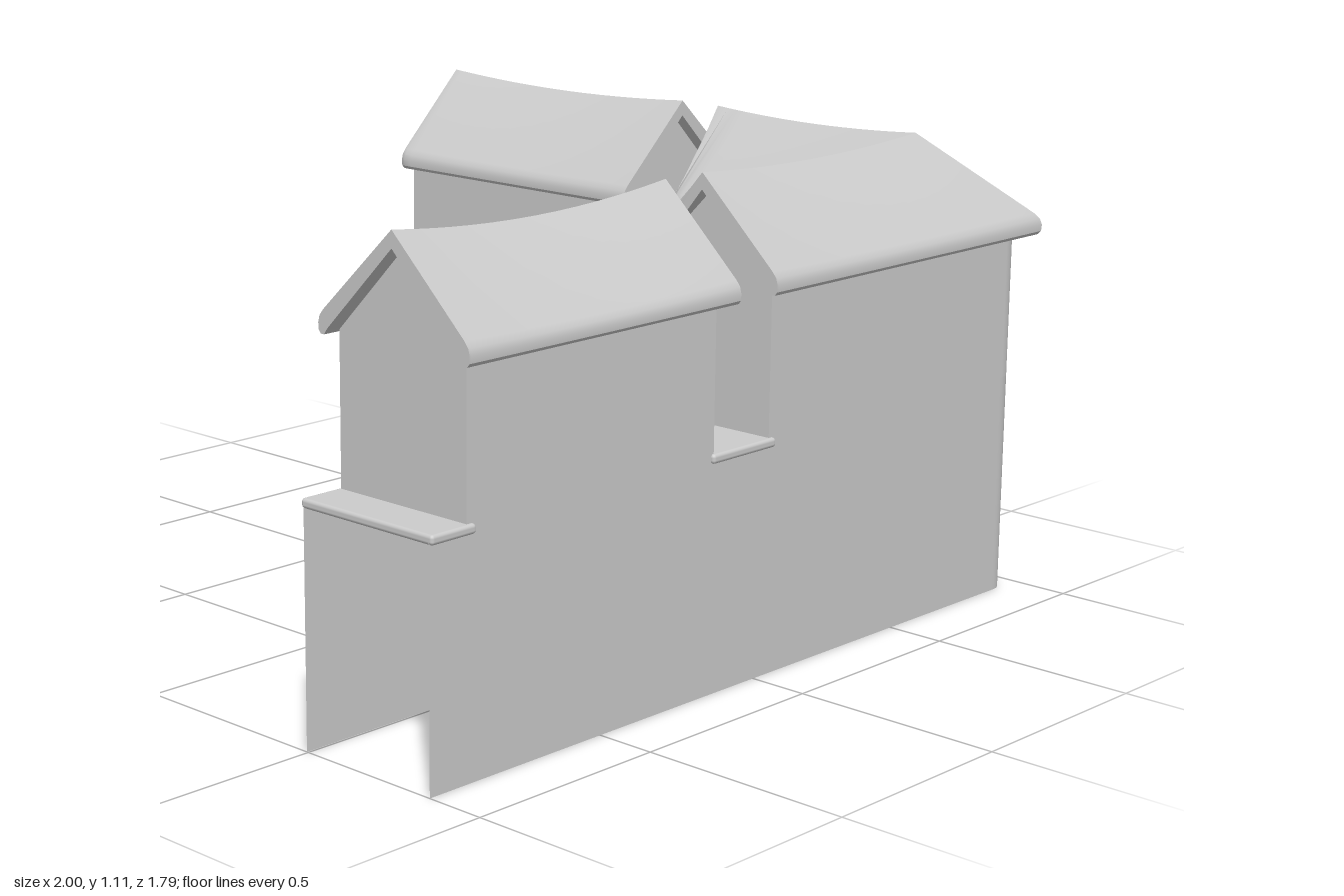
import * as THREE from 'three';
import { toCreasedNormals } from 'three/addons/utils/BufferGeometryUtils.js';
import { RoundedBoxGeometry } from 'three/addons/geometries/RoundedBoxGeometry.js';

const material = new THREE.MeshStandardMaterial({ color: 0xcccccc, side: THREE.DoubleSide });
const EAVE = 0.87;      // height above which the roofs sag
const CX = 0.778, CZ = 0.678; // centre lines of the two arms
const HALF = 0.182;     // half the wall thickness

// Stations along a straight stretch. Each places a section offset o on the plan.
// k0 and k1 skew the ends (1 = mitre), pinch rounds the inner eave at an end.
function run(axis, centre, t0, t1, { k0 = 0, k1 = 0, sag = 0, pinch0 = 0, pinch1 = 0, n = 20 } = {}) {
  const squeeze = (d, r) => (d < r ? r - Math.sqrt(Math.max(0, r * r - (r - d) ** 2)) : 0);
  return Array.from({ length: n + 1 }, (_, i) => {
    const u = 0.5 - 0.5 * Math.cos((Math.PI * i) / n);
    const t = t0 + (t1 - t0) * u, k = k0 + (k1 - k0) * u;
    const length = Math.abs(t1 - t0);
    const f = squeeze(u * length, pinch0) + squeeze((1 - u) * length, pinch1);
    const place = (o) => {
      const w = o < 0 ? o * (1 - f / 0.217) : o;
      return axis === 'x' ? [t + k * o, centre + w] : [centre + w, t + k * o];
    };
    return { place, sag: sag * 4 * u * (1 - u) };
  });
}

// Stations along both arms, round the corner with radius r
function cornerRun(x0, z1, r, optX = {}, optZ = {}) {
  const arc = [];
  for (let i = 1; r > 0 && i < 6; i++) {
    const a = (i / 6) * Math.PI / 2;
    arc.push({ place: (o) => [CX + o - r + r * Math.sin(a), CZ + o - r + r * Math.cos(a)], sag: 0 });
  }
  const second = run('z', CX, CZ - r, z1, { ...optZ, k0: 1 });
  return [...run('x', CZ, x0, CX - r, { ...optX, k1: 1 }), ...arc, ...(r > 0 ? second : second.slice(1))];
}

// Skin a cross-section of [offset, height] points over the stations
function loft(stations, section, { closed = false, caps = false } = {}) {
  const pos = [], idx = [], m = section.length, last = stations.length - 1;
  for (const { place, sag } of stations) {
    for (const [o, y] of section) {
      const [x, z] = place(o);
      pos.push(x, y > EAVE ? EAVE + (y - EAVE) * (1 - sag / 0.24) : y, z);
    }
  }
  for (let i = 0; i < last; i++) {
    for (let j = 0; j < (closed ? m : m - 1); j++) {
      const a = i * m + j, b = i * m + ((j + 1) % m);
      idx.push(a, b, b + m, a, b + m, a + m);
    }
  }
  if (caps) {
    const flat = section.map(([o, y]) => new THREE.Vector2(o, y));
    for (const [a, b, c] of THREE.ShapeUtils.triangulateShape(flat, [])) {
      idx.push(a, b, c, last * m + c, last * m + b, last * m + a);
    }
  }
  const g = new THREE.BufferGeometry();
  g.setAttribute('position', new THREE.Float32BufferAttribute(pos, 3));
  g.setIndex(idx);
  return toCreasedNormals(g, 0.5);
}

export function createModel() {
  const model = new THREE.Group();
  const add = (name, geometry) => {
    const mesh = new THREE.Mesh(geometry, material);
    mesh.name = name;
    model.add(mesh);
    return mesh;
  };

  // Lower walls: two thin skins, open below and at the ends
  const plan = cornerRun(-1, -0.895, 0.05);
  add('outerWall', loft(plan, [[HALF, 0.53], [HALF, 0]]));
  add('innerWall', loft(plan, [[-HALF, 0], [-HALF, 0.53]]));

  // Upper wall blocks with gable ends
  const block = [[-HALF, 0.53], [-HALF, 0.88], [0, 1.065], [HALF, 0.88], [HALF, 0.53]];
  const blocks = {
    rightBlock: run('x', CZ, -0.896, -0.142, { k1: -0.04, sag: 0.025 }),
    cornerBlock: cornerRun(0.035, 0.11, 0.05, { sag: 0.016 }, { k1: 0.055, sag: 0.012 }),
    backBlock: run('z', CX, -0.07, -0.822, { k1: 0.07, sag: 0.016 }),
  };
  for (const [name, stations] of Object.entries(blocks)) add(name, loft(stations, block, { caps: true }));

  // Roofs: a thick chevron with a rounded eave lip
  const slope = [[0.203, 0.921], [0.213, 0.908], [0.217, 0.893], [0.216, 0.878], [0.21, 0.87], [0.2, 0.87], [0.19, 0.884]];
  const roof = [
    [0, 1.113], ...slope, [0, 1.075],
    ...slope.map(([o, y]) => [-o, y]).reverse(),
  ];
  const roofs = {
    rightRoof: run('x', CZ - 0.002, -0.92, -0.108, { sag: 0.026 }),
    cornerRoof: cornerRun(0.01, 0.07, 0, { sag: 0.016, pinch0: 0.04 }, { sag: 0.012, pinch1: 0.1 }),
    backRoof: run('z', 0.782, -0.05, -0.86, { sag: 0.016, pinch1: 0.02 }),
  };
  for (const [name, stations] of Object.entries(roofs)) add(name, loft(stations, roof, { closed: true, caps: true }));

  // Sills over the low stretches of wall
  const sills = [['x', -1, -0.875], ['x', -0.158, 0.052], ['z', -0.095, 0.115], ['z', -0.895, -0.815]];
  for (const [axis, a, b] of sills) {
    const along = b - a, mid = (a + b) / 2, across = 0.382;
    const g = axis === 'x'
      ? new RoundedBoxGeometry(along, 0.022, across, 2, 0.008)
      : new RoundedBoxGeometry(across, 0.022, along, 2, 0.008);
    add('sill', g).position.set(axis === 'x' ? mid : CX + 0.002, 0.534, axis === 'x' ? CZ : mid);
  }
  return model;
}
